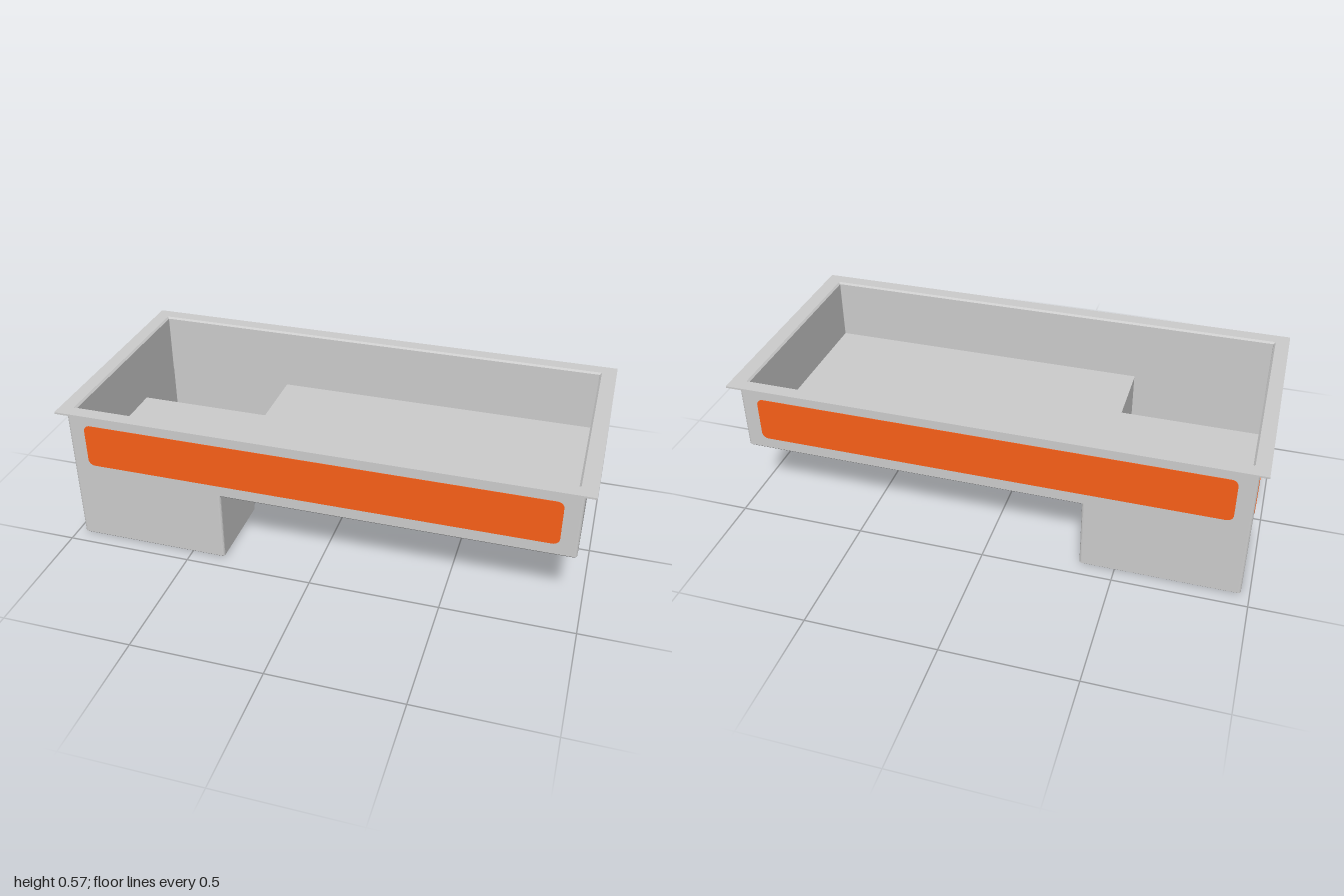
import * as THREE from 'three';

const grey = new THREE.MeshStandardMaterial({ color: 0xcccccc });
const orange = new THREE.MeshStandardMaterial({ color: 0xf95f18 });

// Horizontal ring of a rounded rectangle, anticlockwise seen from above
function ring(y, x0, x1, z0, z1, r) {
  const centres = [[x1 - r, z0 + r], [x0 + r, z0 + r], [x0 + r, z1 - r], [x1 - r, z1 - r]];
  const pts = [];
  centres.forEach(([cx, cz], q) => {
    for (let k = 0; k <= 3; k++) {
      const a = (q + k / 3) * Math.PI / 2;
      pts.push([cx + r * Math.cos(a), y, cz - r * Math.sin(a)]);
    }
  });
  return pts;
}

// Skin over stacked rings, optionally closed at the first or last ring
function loft(rings, cap) {
  const n = rings[0].length, pos = rings.flat(2), index = [];
  for (let i = 0; i < rings.length - 1; i++) {
    for (let j = 0; j < n; j++) {
      const a = i * n + j, b = i * n + (j + 1) % n;
      index.push(a, b, b + n, a, b + n, a + n);
    }
  }
  if (cap) {
    const o = cap === 'start' ? 0 : (rings.length - 1) * n;
    for (let j = 1; j < n - 1; j++) {
      if (cap === 'start') index.push(o, o + j + 1, o + j);
      else index.push(o, o + j, o + j + 1);
    }
  }
  let g = new THREE.BufferGeometry();
  g.setAttribute('position', new THREE.Float32BufferAttribute(pos, 3));
  g.setIndex(index);
  g = g.toNonIndexed();
  g.computeVertexNormals();
  return g;
}

// T-shaped floor: full width at the left, a narrow tongue between the legs
function floorGeometry(y, x0, xm, x1, zt, zo, up) {
  const s = new THREE.Shape([
    [x0, -zt], [xm, -zt], [xm, -zo], [x1, -zo], [x1, zo], [xm, zo], [xm, zt], [x0, zt],
  ].map(([x, z]) => new THREE.Vector2(x, z)));
  return new THREE.ShapeGeometry(s).rotateX(up ? -Math.PI / 2 : Math.PI / 2).translate(0, y, 0);
}

// Thin rounded panel, centred and facing +z
function panelGeometry(w, h, r) {
  const x = w / 2, y = h / 2, s = new THREE.Shape();
  s.absarc(x - r, y - r, r, 0, Math.PI / 2);
  s.absarc(-x + r, y - r, r, Math.PI / 2, Math.PI);
  s.absarc(-x + r, -y + r, r, Math.PI, Math.PI * 1.5);
  s.absarc(x - r, -y + r, r, Math.PI * 1.5, Math.PI * 2);
  return new THREE.ExtrudeGeometry(s, { depth: 0.004, bevelEnabled: false, curveSegments: 4 });
}

export function createModel() {
  const model = new THREE.Group();
  const add = (name, geometry, material = grey) => {
    const mesh = new THREE.Mesh(geometry, material);
    mesh.name = name;
    model.add(mesh);
    return mesh;
  };

  // Tub wall: up the outside, over the flat rim, down the inside
  const outer = (y, d, r) => ring(y, -0.968 - d, 0.962 + d, -0.445 - d, 0.445 + d, r);
  add('tubWall', loft([
    outer(0.284, -0.008, 0.006),
    outer(0.292, 0, 0.01),
    outer(0.55, 0, 0.01),
    outer(0.557, 0.003, 0.01),
    outer(0.561, 0.01, 0.01),
    ring(0.562, -1, 1, -0.475, 0.475, 0.002),
    ring(0.569, -1, 1, -0.475, 0.475, 0.002),
    ring(0.569, -0.947, 0.942, -0.422, 0.422, 0.004),
    ring(0.562, -0.94, 0.935, -0.415, 0.415, 0.002),
    ring(0.315, -0.94, 0.935, -0.415, 0.415, 0.002),
  ]));

  // Tub floor, inside and underside
  add('tubFloor', floorGeometry(0.315, -0.94, -0.395, 0.935, 0.132, 0.415, true));
  add('tubUnderside', floorGeometry(0.284, -0.96, -0.367, 0.954, 0.107, 0.437, false));

  // Two hollow legs, open to the tub
  for (const [side, name] of [[1, 'frontLeg'], [-1, 'backLeg']]) {
    const leg = (y, d, r) => {
      const a = side * (0.105 + d), b = side * (0.445 - d);
      return ring(y, -0.968 + d, -0.365 - d, Math.min(a, b), Math.max(a, b), r);
    };
    add(name, loft([leg(0, 0.006, 0.006), leg(0.006, 0, 0.01), leg(0.3, 0, 0.01)], 'start'));
    add(name + 'Well', loft([leg(0.315, 0.028, 0.001), leg(0.03, 0.028, 0.001)], 'end'));
  }

  // Coloured panels on the two long sides and the leg end
  const long = panelGeometry(1.8, 0.176, 0.025);
  add('frontPanel', long, orange).position.set(-0.003, 0.423, 0.443);
  const back = add('backPanel', long, orange);
  back.position.set(-0.003, 0.423, -0.443);
  back.rotation.y = Math.PI;
  const end = add('endPanel', panelGeometry(0.8, 0.176, 0.025), orange);
  end.position.set(-0.966, 0.423, 0);
  end.rotation.y = -Math.PI / 2;

  return model;
}
